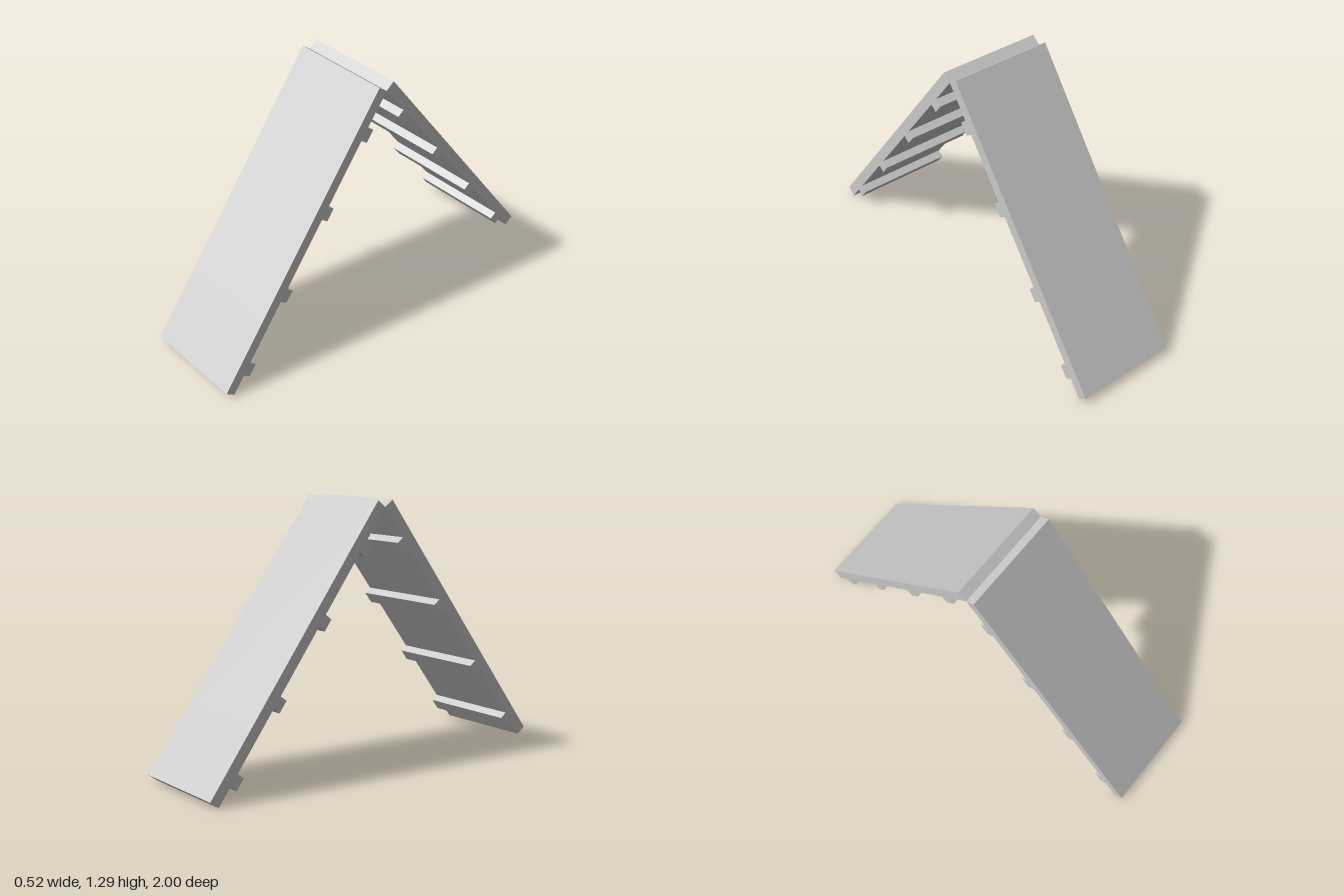
import * as THREE from 'three';

const WIDTH = 0.524;
const THICK = 0.055;
const FOOT_Z = 0.956; // inner bottom edge of a panel
const RIDGE_Y = 1.26; // inner top edge, where both panels meet
const LENGTH = Math.hypot(FOOT_Z, RIDGE_Y);
const SEAM = 0.37; // joint between lower and upper board, measured up the slope
const BATTENS = [0.135, 0.528, 0.957, 1.362]; // centres up the slope
const BATTEN_W = 0.066;
const BATTEN_T = 0.041;

export function createModel() {
  const model = new THREE.Group();
  model.name = 'foldingRamp';
  const material = new THREE.MeshStandardMaterial({ color: 0xcccccc });

  // A box lying on the slope: from..to along it, back..front across its thickness
  function plank(parent, name, from, to, back, front) {
    const mesh = new THREE.Mesh(new THREE.BoxGeometry(WIDTH, to - from, front - back), material);
    mesh.position.set(0, (from + to) / 2, (back + front) / 2);
    mesh.name = name;
    parent.add(mesh);
  }

  for (const side of ['front', 'back']) {
    const half = new THREE.Group();
    half.name = side + 'Half';

    // Leaning panel; local y runs up the slope, local z points outward
    const panel = new THREE.Group();
    panel.name = side + 'Panel';
    panel.position.z = FOOT_Z;
    panel.rotation.x = -Math.atan2(FOOT_Z, RIDGE_Y);
    plank(panel, 'lowerBoard', 0, SEAM, 0, THICK);
    plank(panel, 'upperBoard', SEAM, LENGTH, 0, THICK);

    // Cross battens on the inner face
    BATTENS.forEach((s, i) =>
      plank(panel, 'batten' + (i + 1), s - BATTEN_W / 2, s + BATTEN_W / 2, -BATTEN_T, 0));

    half.add(panel);
    if (side === 'back') half.rotation.y = Math.PI;
    model.add(half);
  }
  return model;
}
